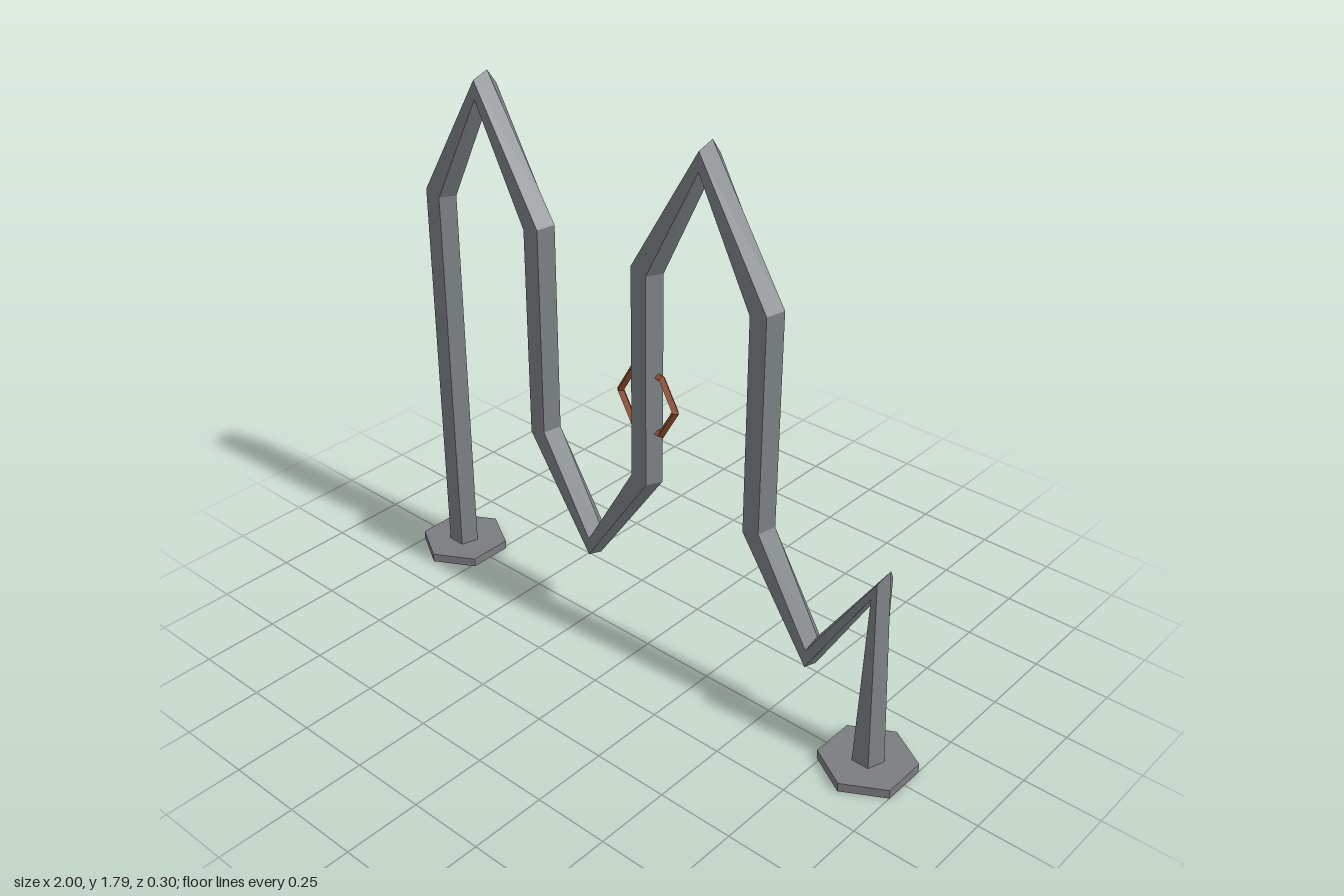
import * as THREE from 'three';

const steel = new THREE.MeshStandardMaterial({ color: 0x7b8184 });
steel.name = 'grey steel';
const plate = new THREE.MeshStandardMaterial({ color: 0x7b7c80 });
plate.name = 'foot plate grey';
const copper = new THREE.MeshStandardMaterial({ color: 0x944e2e });
copper.name = 'copper brown';

// Unshared vertices give each facet its own normal.
function faceted(geometry) {
  const flat = geometry.index ? geometry.toNonIndexed() : geometry;
  flat.computeVertexNormals();
  return flat;
}

// Sweeps a polygon along a path in the xy plane; each ring faces the mean direction at its corner.
function bentTube(points, radius, sides) {
  const direction = (a, b) => new THREE.Vector2().subVectors(b, a).normalize();
  const rings = points.map((p, i) => {
    const t = new THREE.Vector2();
    if (i > 0) t.add(direction(points[i - 1], p));
    if (i < points.length - 1) t.add(direction(p, points[i + 1]));
    t.normalize();
    return Array.from({ length: sides }, (_, j) => {
      const angle = -Math.PI / 2 + (j / sides) * Math.PI * 2;
      const c = radius * Math.cos(angle);
      return [p.x - t.y * c, p.y + t.x * c, radius * Math.sin(angle)];
    });
  });
  const positions = [];
  for (let i = 0; i < rings.length - 1; i++) {
    for (let j = 0; j < sides; j++) {
      const k = (j + 1) % sides;
      const a = rings[i][j], b = rings[i][k], c = rings[i + 1][k], d = rings[i + 1][j];
      positions.push(...a, ...b, ...d, ...b, ...c, ...d);
    }
  }
  const geometry = new THREE.BufferGeometry();
  geometry.setAttribute('position', new THREE.Float32BufferAttribute(positions, 3));
  return faceted(geometry);
}

export function createModel() {
  const group = new THREE.Group();
  group.name = 'bikeRack';

  const add = (name, geometry, material, x = 0, y = 0) => {
    const mesh = new THREE.Mesh(geometry, material);
    mesh.name = name;
    mesh.position.set(x, y, 0);
    group.add(mesh);
  };

  // Wavy five-sided rail: two peaks, two valleys and a short end post
  const low = 0.65, high = 1.35, peak = 1.737, valley = 0.305, end = 0.87;
  const path = [[-end, 0.01]];
  for (const x of [-end, 0]) {
    path.push([x, high], [x + end / 4, peak], [x + end / 2, high],
      [x + end / 2, low], [x + end * 0.75, valley], [x + end, low]);
  }
  path.push([end, 0.01]);
  add('waveRail', bentTube(path.map(([x, y]) => new THREE.Vector2(x, y)), 0.051, 5), steel);

  // Hexagonal foot plates
  for (const [name, x] of [['rightFoot', -end], ['leftFoot', end]]) {
    add(name, faceted(new THREE.CylinderGeometry(0.15, 0.15, 0.03, 6)), plate, x, 0.015);
  }

  // Hexagonal ring through the middle post
  add('lockRing', faceted(new THREE.TorusGeometry(0.11, 0.013, 4, 6)), copper, 0, 0.91);

  return group;
}
